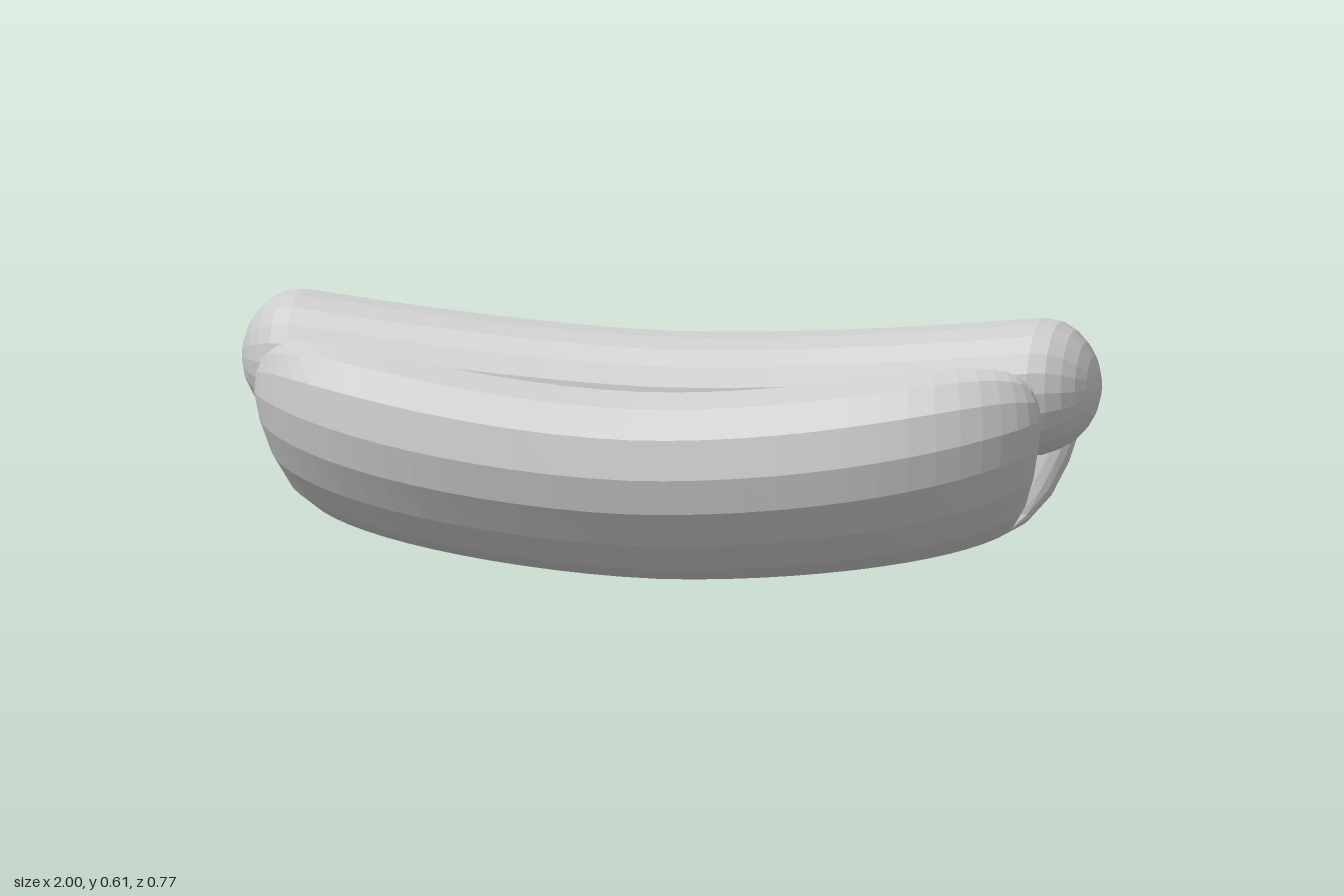
import * as THREE from 'three';

const material = new THREE.MeshStandardMaterial({ color: 0xcccccc, flatShading: true, side: THREE.DoubleSide });

// Skins closed rings of `around` points, placed along x; f runs from -1 to 1
function loft(name, along, around, point) {
  const positions = [], index = [];
  for (let i = 0; i <= along; i++) {
    const f = Math.sin((i / along - 0.5) * Math.PI);
    for (let j = 0; j < around; j++) positions.push(...point(f, j));
  }
  for (let i = 0; i < along; i++) {
    for (let j = 0; j < around; j++) {
      const k = (j + 1) % around;
      const a = i * around + j, b = a + around, c = i * around + k, d = c + around;
      index.push(a, b, c, b, d, c);
    }
  }
  const geometry = new THREE.BufferGeometry();
  geometry.setAttribute('position', new THREE.Float32BufferAttribute(positions, 3));
  geometry.setIndex(index);
  geometry.computeVertexNormals();
  const mesh = new THREE.Mesh(geometry, material);
  mesh.name = name;
  return mesh;
}

// Half section of the bun as [z, y]: outer crust and cut face, bottom to lip
const outer = [[0, 0], [0.13, 0], [0.23, 0.035], [0.31, 0.1], [0.365, 0.18], [0.385, 0.26], [0.37, 0.35], [0.33, 0.415], [0.275, 0.447]];
const inner = [[0, 0.06], [0.025, 0.08], [0.05, 0.13], [0.08, 0.19], [0.115, 0.25], [0.15, 0.3], [0.19, 0.355], [0.235, 0.415]];
// How far along x each level of the section reaches
const reach = [0.8, 0.82, 0.86, 0.89, 0.91, 0.92, 0.915, 0.9, 0.88];
const lobe = [0.245, 0.26];

// Core points that the section shrinks to at the rounded ends
const core = outer.map((o, i) => {
  const n = inner[i] || o;
  const mid = [(o[0] + n[0]) / 2, (o[1] + n[1]) / 2];
  return i < 5 ? mid : mid.map((v, k) => (v + lobe[k]) / 2);
});

// Full ring: up the front crust, down the front cut, up the back cut, down the back crust
const ring = [];
outer.forEach((p, i) => ring.push({ p, i, side: 1 }));
for (let i = 7; i >= 0; i--) ring.push({ p: inner[i], i, side: 1 });
for (let i = 1; i <= 7; i++) ring.push({ p: inner[i], i, side: -1 });
for (let i = 8; i >= 1; i--) ring.push({ p: outer[i], i, side: -1 });

function bunPoint(f, j) {
  const { p, i, side } = ring[j];
  const x = f * reach[i];
  const swell = Math.sqrt(Math.max(0, 1 - f ** 6));
  const e = Math.abs(x) / 0.92;
  const z = core[i][0] + (p[0] - core[i][0]) * swell;
  const y = core[i][1] + (p[1] - core[i][1]) * swell;
  const lift = 0.125 * e ** 1.8 * (1 + 0.3 * y);
  return [x, y + lift, side * z * (1 - 0.24 * e ** 4)];
}

const SIDES = 20;
function sausagePoint(f, j) {
  const a = (j / SIDES) * Math.PI * 2;
  const e = Math.abs(f);
  const cap = Math.max(0, (e - 0.85) / 0.15);
  const r = Math.sqrt(Math.max(0, 1 - cap * cap));
  const y = 0.388 + 0.068 * Math.min(1, e / 0.9) ** 1.6;
  return [f, y + 0.157 * r * Math.sin(a), -0.013 + 0.146 * r * Math.cos(a)];
}

export function createModel() {
  const group = new THREE.Group();
  group.name = 'hotDog';
  group.add(loft('bun', 32, ring.length, bunPoint));
  group.add(loft('sausage', 36, SIDES, sausagePoint));
  return group;
}
